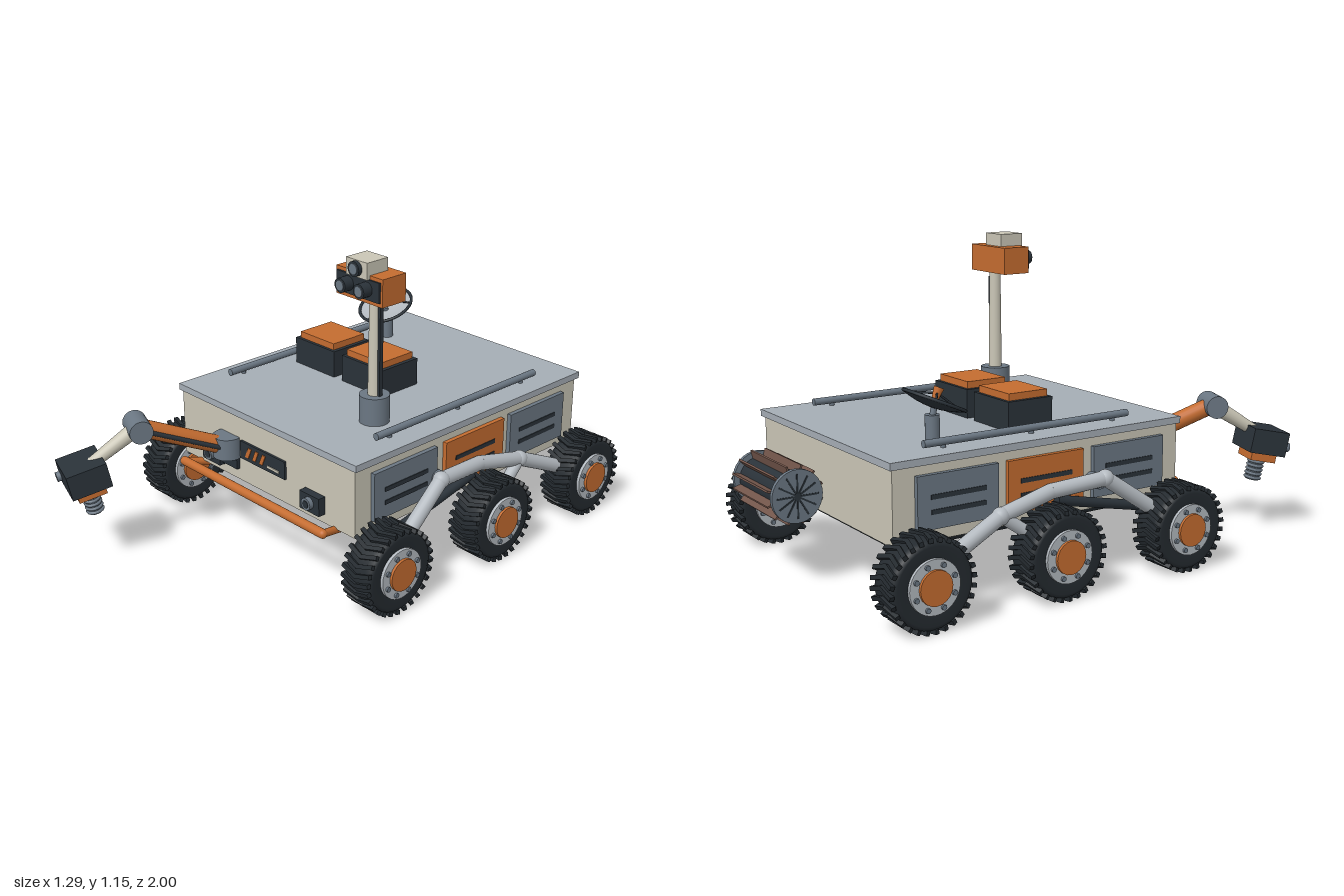
import * as THREE from 'three';
import { mergeGeometries } from 'three/addons/utils/BufferGeometryUtils.js';

const V = (x, y, z) => new THREE.Vector3(x, y, z);
const paint = (name, color) => Object.assign(new THREE.MeshStandardMaterial({ color }), { name });

export function createModel() {
  const beige = paint('beige hull', 0xcac6b6), deckGrey = paint('deck grey', 0xa5adb5);
  const steel = paint('steel', 0x6b7783), dark = paint('dark housing', 0x2a3239);
  const orange = paint('orange', 0xc46c30), rubber = paint('rubber', 0x242a2f);
  const silver = paint('silver', 0xb3b9bf), brown = paint('brown fins', 0x73564b);
  const black = paint('underside black', 0x1a1f23);

  const rover = new THREE.Group();
  rover.name = 'rover';

  const add = (parent, name, geo, mat) => {
    const m = new THREE.Mesh(geo, mat);
    m.name = name;
    parent.add(m);
    return m;
  };
  // box given by its limits on each axis
  const box = (parent, name, mat, x0, x1, y0, y1, z0, z1) => {
    const m = add(parent, name, new THREE.BoxGeometry(x1 - x0, y1 - y0, z1 - z0), mat);
    m.position.set((x0 + x1) / 2, (y0 + y1) / 2, (z0 + z1) / 2);
    return m;
  };
  // cylinder from a to b
  const rod = (parent, name, mat, a, b, r, r2 = r, seg = 20) => {
    const d = b.clone().sub(a);
    const m = add(parent, name, new THREE.CylinderGeometry(r2, r, d.length(), seg), mat);
    m.position.copy(a).add(b).multiplyScalar(0.5);
    m.quaternion.setFromUnitVectors(V(0, 1, 0), d.normalize());
    return m;
  };
  const ball = (parent, name, mat, p, r) =>
    add(parent, name, new THREE.SphereGeometry(r, 20, 14), mat).position.copy(p);

  // hull, deck and underside
  box(rover, 'hull', beige, -0.47, 0.47, 0.25, 0.506, -0.785, 0.385);
  box(rover, 'deck', deckGrey, -0.482, 0.482, 0.506, 0.531, -0.797, 0.393);
  box(rover, 'bellyPan', black, -0.41, 0.41, 0.217, 0.25, -0.74, 0.34);

  // side panels with louvres
  for (const s of [-1, 1]) {
    [[0.155, steel], [-0.2, orange], [-0.548, steel]].forEach(([z, mat]) => {
      const p = box(rover, 'sidePanel', mat, -0.01, 0.01, 0.292, 0.474, z - 0.155, z + 0.155);
      p.position.x = s * 0.477;
      for (const y of [0.4, 0.35])
        box(rover, 'louvre', dark, -0.004, 0.004, y - 0.008, y + 0.008, z - 0.105, z + 0.105).position.x = s * 0.486;
    });
  }

  // deck rails
  for (const x of [-0.395, 0.395]) {
    rod(rover, 'deckRail', steel, V(x, 0.551, -0.625), V(x, 0.551, 0.215), 0.013);
    for (const z of [-0.55, -0.2, 0.15]) rod(rover, 'railFoot', steel, V(x, 0.53, z), V(x, 0.55, z), 0.009);
  }

  // equipment boxes with lids
  for (const x of [-0.232, 0.028]) {
    box(rover, 'equipmentBox', dark, x - 0.108, x + 0.108, 0.53, 0.635, -0.256, -0.072);
    box(rover, 'equipmentLid', orange, x - 0.093, x + 0.093, 0.635, 0.66, -0.244, -0.084);
  }

  // front status plate and hazard cameras
  box(rover, 'statusPlate', dark, -0.125, 0.12, 0.346, 0.416, 0.385, 0.394);
  for (let i = 0; i < 3; i++) {
    const x = -0.095 + i * 0.039;
    const bar = new THREE.Shape([[0, 0.361], [0.018, 0.361], [0.036, 0.402], [0.018, 0.402]].map(([a, b]) => new THREE.Vector2(x + a, b)));
    add(rover, 'statusStripe', new THREE.ExtrudeGeometry(bar, { depth: 0.004, bevelEnabled: false }), orange).position.z = 0.393;
  }
  box(rover, 'statusBar', beige, 0.027, 0.09, 0.36, 0.37, 0.393, 0.397);
  for (const x of [-0.272, 0.272]) {
    box(rover, 'hazardCamera', dark, x - 0.05, x + 0.05, 0.286, 0.354, 0.385, 0.415);
    rod(rover, 'hazardLens', steel, V(x, 0.322, 0.41), V(x, 0.322, 0.432), 0.023);
    rod(rover, 'hazardGlass', dark, V(x, 0.322, 0.43), V(x, 0.322, 0.434), 0.014);
  }

  // front bumper
  rod(rover, 'bumperBar', orange, V(-0.385, 0.262, 0.455), V(0.385, 0.262, 0.455), 0.017);
  for (const s of [-1, 1]) {
    rod(rover, 'bumperBracket', orange, V(s * 0.385, 0.262, 0.455), V(s * 0.355, 0.228, 0.33), 0.014);
    ball(rover, 'bumperCorner', orange, V(s * 0.385, 0.262, 0.455), 0.017);
  }

  // camera mast and head
  const mx = 0.262, mz = 0.092;
  rod(rover, 'mastBase', steel, V(mx, 0.53, mz), V(mx, 0.634, mz), 0.055, 0.055, 28);
  rod(rover, 'mast', beige, V(mx, 0.63, mz), V(mx, 1.01, mz), 0.025, 0.021);
  box(rover, 'mastCable', dark, mx + 0.02, mx + 0.032, 0.63, 0.98, mz - 0.008, mz + 0.008);
  box(rover, 'cameraHead', orange, 0.15, 0.374, 1.0, 1.1, 0.06, 0.17);
  box(rover, 'cameraFace', dark, 0.159, 0.365, 1.015, 1.087, 0.17, 0.178);
  box(rover, 'topCamera', beige, 0.211, 0.313, 1.086, 1.146, 0.085, 0.183);
  const lens = (x, y, z0, z1, r) => {
    rod(rover, 'lensBarrel', dark, V(x, y, z0), V(x, y, z1), r, r, 24);
    rod(rover, 'lensGlass', steel, V(x, y, z1 - 0.002), V(x, y, z1 + 0.003), r * 0.72, r * 0.72, 24);
  };
  lens(0.217, 1.053, 0.17, 0.217, 0.026);
  lens(0.307, 1.053, 0.17, 0.217, 0.026);
  lens(mx, 1.117, 0.18, 0.198, 0.027);

  // dish antenna
  rod(rover, 'dishStand', steel, V(-0.303, 0.53, -0.535), V(-0.303, 0.622, -0.535), 0.025);
  rod(rover, 'dishNeck', steel, V(-0.303, 0.61, -0.535), V(-0.303, 0.655, -0.525), 0.011);
  const dish = new THREE.Group();
  dish.name = 'dish';
  dish.position.set(-0.303, 0.668, -0.525);
  dish.rotation.x = 0.41;
  rover.add(dish);
  const bowl = [0, 0.03, 0.06, 0.09, 0.111].map(r => new THREE.Vector2(r, -0.022 + 0.022 * (r / 0.111) ** 2));
  add(dish, 'dishBack', new THREE.LatheGeometry(bowl.map(p => new THREE.Vector2(p.x, p.y - 0.004)), 36), dark);
  add(dish, 'dishBowl', new THREE.LatheGeometry(bowl.slice().reverse(), 36), silver);
  add(dish, 'dishRim', new THREE.TorusGeometry(0.109, 0.006, 8, 40).rotateX(Math.PI / 2), dark);
  for (let i = 0; i < 3; i++) {
    const a = Math.PI / 2 + i * Math.PI * 2 / 3;
    rod(dish, 'feedStrut', dark, V(0.1 * Math.cos(a), 0, -0.1 * Math.sin(a) * -1), V(0, 0.025, 0), 0.004, 0.004, 8);
  }
  rod(dish, 'feedHorn', orange, V(0, 0.005, 0), V(0, 0.045, 0), 0.012, 0.018, 16);

  // rear power unit
  const py = 0.33, pz = -0.893;
  rod(rover, 'powerCore', dark, V(0, py, pz), V(0.3, py, pz), 0.074, 0.074, 28);
  for (const x of [-0.014, 0.298]) {
    rod(rover, 'powerEndCap', steel, V(x, py, pz), V(x + 0.016, py, pz), 0.094, 0.094, 32);
    const ox = x < 0 ? x : x + 0.016;
    for (let i = 0; i < 6; i++)
      box(rover, 'endCapRib', dark, ox - 0.002, ox + 0.002, py - 0.003, py + 0.003, pz - 0.078, pz + 0.078).rotation.x = i * Math.PI / 6;
  }
  for (let i = 0; i < 12; i++) {
    const a = (i + 0.5) * Math.PI / 6;
    const fin = add(rover, 'coolingFin', new THREE.BoxGeometry(0.29, 0.035, 0.007), brown);
    fin.position.set(0.15, py + 0.088 * Math.cos(a), pz + 0.088 * Math.sin(a));
    fin.rotation.x = a;
  }
  box(rover, 'powerMount', steel, 0.07, 0.23, 0.29, 0.37, -0.84, -0.78);

  // wheels
  const tyre = new THREE.LatheGeometry([[0.088, -0.058], [0.13, -0.063], [0.144, -0.056], [0.149, -0.035], [0.149, 0.035],
    [0.144, 0.056], [0.13, 0.063], [0.088, 0.058]].map(p => new THREE.Vector2(...p)), 48).rotateZ(Math.PI / 2);
  const blocks = [];
  for (let i = 0; i < 28; i++)
    for (const s of [-1, 1])
      blocks.push(new THREE.BoxGeometry(0.068, 0.016, 0.015).rotateY(s * 0.3)
        .translate(s * 0.031, 0.15, 0).rotateX(i * Math.PI / 14));
  const tread = mergeGeometries(blocks);
  const wheel = (x, z) => {
    const w = new THREE.Group();
    w.name = 'wheel';
    w.position.set(x, 0.158, z);
    rover.add(w);
    add(w, 'tyre', tyre, rubber);
    add(w, 'tread', tread, rubber);
    rod(w, 'rim', silver, V(-0.07, 0, 0), V(0.07, 0, 0), 0.092, 0.092, 32);
    rod(w, 'hub', orange, V(-0.08, 0, 0), V(0.08, 0, 0), 0.059, 0.059, 20);
    for (let i = 0; i < 8; i++) {
      const a = (i + 0.5) * Math.PI / 4, y = 0.075 * Math.cos(a), q = 0.075 * Math.sin(a);
      rod(w, 'rimBolt', steel, V(-0.078, y, q), V(0.078, y, q), 0.009, 0.009, 8);
    }
  };

  // suspension on both sides
  for (const s of [-1, 1]) {
    for (const z of [0.322, -0.21, -0.73]) wheel(s * 0.565, z);
    const path = [V(s * 0.562, 0.165, 0.315), V(s * 0.525, 0.368, 0.02), V(s * 0.508, 0.352, -0.2),
      V(s * 0.522, 0.305, -0.41), V(s * 0.562, 0.165, -0.725)];
    for (let i = 0; i < 4; i++) {
      rod(rover, 'rockerArm', silver, path[i], path[i + 1], 0.027);
      if (i) ball(rover, 'rockerJoint', silver, path[i], i === 2 ? 0.027 : 0.031);
    }
    rod(rover, 'rockerPivot', steel, V(s * 0.465, 0.355, 0.0), V(s * 0.525, 0.36, 0.0), 0.028);
    rod(rover, 'bogieLink', silver, path[3], V(s * 0.55, 0.17, -0.22), 0.022);
    rod(rover, 'bogieBar', dark, V(s * 0.5, 0.225, 0.25), V(s * 0.5, 0.315, -0.17), 0.018);
  }

  // robotic arm
  const shoulder = V(-0.2, 0.383, 0.425), elbow = V(-0.312, 0.505, 0.705), wrist = V(-0.372, 0.395, 0.87);
  const across = V(0.93, 0, 0.37);
  const shift = (p, k, dy = 0) => p.clone().addScaledVector(across, k).add(V(0, dy, 0));
  rod(rover, 'armShoulder', steel, V(-0.19, 0.338, 0.4), V(-0.19, 0.42, 0.4), 0.055, 0.055, 28);
  box(rover, 'armMount', dark, -0.24, -0.14, 0.295, 0.415, 0.38, 0.4);
  rod(rover, 'upperArm', orange, shoulder, elbow, 0.033);
  rod(rover, 'armCable', dark, shift(shoulder, 0.03), shift(elbow, 0.03), 0.009);
  rod(rover, 'armElbow', steel, shift(elbow, -0.056), shift(elbow, 0.056), 0.043, 0.043, 28);
  rod(rover, 'foreArm', beige, elbow, wrist, 0.03, 0.022);

  // tool head at the end of the arm
  const tool = new THREE.Group();
  tool.name = 'toolHead';
  tool.position.set(-0.386, 0.362, 0.895);
  tool.rotation.set(0.2, -0.33, 0, 'YXZ');
  rover.add(tool);
  box(tool, 'toolHousing', dark, -0.083, 0.083, -0.047, 0.047, -0.074, 0.074);
  box(tool, 'toolCollar', orange, -0.057, 0.057, -0.08, -0.047, -0.052, 0.052);
  rod(tool, 'toolSensor', steel, V(-0.06, -0.01, 0.07), V(-0.06, -0.01, 0.09), 0.018);
  rod(tool, 'drill', steel, V(0, -0.163, 0), V(0, -0.08, 0), 0.026, 0.029);
  for (let i = 0; i < 5; i++)
    add(tool, 'drillThread', new THREE.TorusGeometry(0.028, 0.006, 8, 24).rotateX(Math.PI / 2), steel).position.y = -0.09 - i * 0.016;

  return rover;
}
